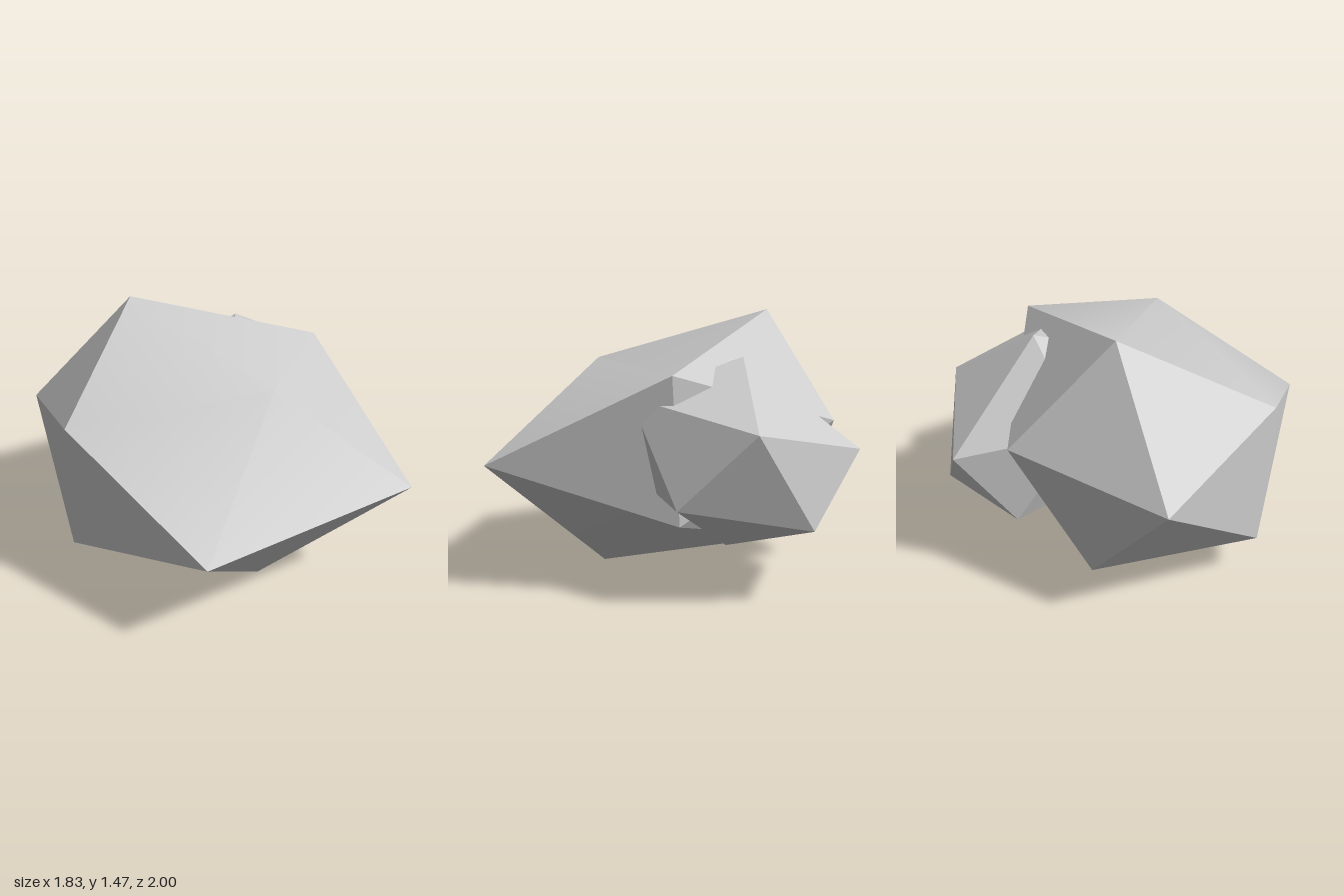
import * as THREE from 'three';
import { toCreasedNormals } from 'three/addons/utils/BufferGeometryUtils.js';

// Twenty-sided stone: a tip, two staggered rings of five, and an opposite tip.
// Rings run counter-clockwise as seen from outside the first tip.
function stone(name, tip, upper, lower, base) {
  const pos = [];
  for (let i = 0; i < 5; i++) {
    const j = (i + 1) % 5;
    pos.push(
      ...tip, ...upper[i], ...upper[j],
      ...upper[i], ...lower[i], ...upper[j],
      ...upper[j], ...lower[i], ...lower[j],
      ...base, ...lower[j], ...lower[i]
    );
  }
  const geo = new THREE.BufferGeometry();
  geo.setAttribute('position', new THREE.Float32BufferAttribute(pos, 3));
  // Shallow edges blend, steep edges stay sharp
  const mesh = new THREE.Mesh(
    toCreasedNormals(geo, THREE.MathUtils.degToRad(30)),
    new THREE.MeshStandardMaterial({ color: 0xcccccc })
  );
  mesh.name = name;
  return mesh;
}

export function createModel() {
  const group = new THREE.Group();
  group.name = 'rocks';

  // Large boulder, with a broad sloping front
  group.add(stone('largeRock',
    [-0.01, 1.22, 0.39],
    [[-0.2, 1.47, -0.6], [-0.92, 1.06, -0.23], [-0.76, 0.63, 0.73], [0.45, 0.71, 1], [0.65, 1.2, 0.03]],
    [[-0.65, 0.82, -1], [-0.9, 0.25, -0.3], [-0.08, 0, 0.37], [0.65, 0.41, -0.01], [0.27, 0.89, -0.9]],
    [-0.12, 0.11, -0.76]
  ));

  // Smaller stone half sunk into the boulder's side
  group.add(stone('smallRock',
    [0.91, 0.94, -0.37],
    [[0.39, 1.26, -0.37], [0.55, 1.08, 0.24], [0.81, 0.54, 0.02], [0.81, 0.42, -0.68], [0.56, 0.79, -0.97]],
    [[-0.04, 1.06, 0.02], [0.21, 0.69, 0.31], [0.38, 0.22, -0.29], [0.26, 0.42, -0.87], [-0.04, 0.94, -0.68]],
    [-0.14, 0.54, -0.29]
  ));

  return group;
}
